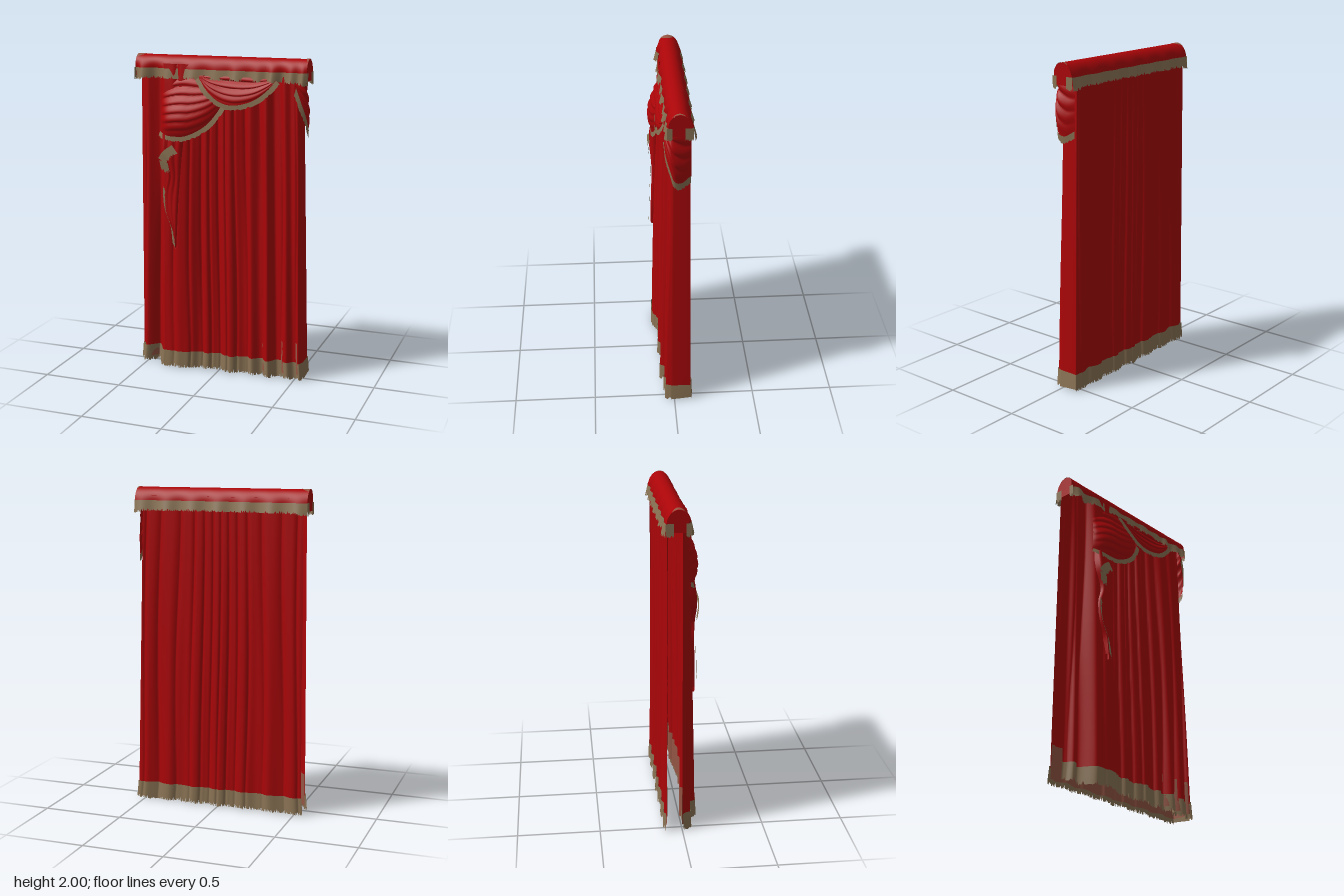
import * as THREE from 'three';

function material(name, color) {
  const m = new THREE.MeshStandardMaterial({ color, side: THREE.DoubleSide });
  m.name = name;
  return m;
}
const red = material('red velvet', 0xaa0508);
const tan = material('tan fringe', 0x8a7354);
const russet = material('russet lining', 0x955644);

const V = (x, y, z) => new THREE.Vector3(x, y, z);
const lerp = THREE.MathUtils.lerp;
const hash = (i) => { const s = Math.sin(i * 127.1 + 3.7) * 43758.5453; return s - Math.floor(s); };
const curve = (pts) => new THREE.CatmullRomCurve3(pts.map((p) => V(...p)));

// Smooth lookup through [x, value] pairs
function profile(table, x) {
  if (x <= table[0][0]) return table[0][1];
  for (let i = 1; i < table.length; i++) {
    const [x0, a] = table[i - 1], [x1, b] = table[i];
    if (x <= x1) return lerp(a, b, THREE.MathUtils.smoothstep(x, x0, x1));
  }
  return table[table.length - 1][1];
}

// Grid of points fn(u, v, column, row)
function sheet(name, nu, nv, fn, mat) {
  const pos = [], idx = [];
  for (let j = 0; j <= nv; j++) {
    for (let i = 0; i <= nu; i++) {
      const p = fn(i / nu, j / nv, i, j);
      pos.push(p.x, p.y, p.z);
      if (i < nu && j < nv) {
        const a = j * (nu + 1) + i, b = a + nu + 1;
        idx.push(a, b, a + 1, a + 1, b, b + 1);
      }
    }
  }
  const g = new THREE.BufferGeometry();
  g.setAttribute('position', new THREE.Float32BufferAttribute(pos, 3));
  g.setIndex(idx);
  g.computeVertexNormals();
  const m = new THREE.Mesh(g, mat);
  m.name = name;
  return m;
}

// Band hanging from edge(u) along drop(u), with a ragged lower edge
function fringe(name, n, edge, drop, ragged = 0.3, mat = tan) {
  const rows = [0, 0.65, 1];
  return sheet(name, n, 2, (u, v, i, j) => {
    const k = j === 2 ? 1 - ragged * hash(i) * (i % 2 ? 1 : 0.2) : rows[j];
    return edge(u).clone().addScaledVector(drop(u), k);
  }, mat);
}

// Front folds of the hem and of the valance
const hemFront = [[-0.55, 0.0], [-0.51, 0.055], [-0.43, 0.01], [-0.36, 0.1], [-0.28, 0.108], [-0.2, 0.095],
  [-0.13, 0.055], [-0.08, 0.07], [-0.01, 0.045], [0.08, 0.08], [0.17, 0.04], [0.22, 0.065], [0.27, 0.035],
  [0.33, 0.08], [0.38, 0.02], [0.45, 0.06], [0.49, 0.03], [0.53, 0.055], [0.55, 0.01]];
const valanceFront = [[-0.56, 0.01], [-0.51, 0.06], [-0.43, 0.012], [-0.34, 0.055], [-0.26, 0.04], [-0.18, 0.06],
  [-0.1, 0.035], [-0.03, 0.05], [0.05, 0.04], [0.1, 0.058], [0.18, 0.035], [0.24, 0.05], [0.29, 0.035],
  [0.33, 0.06], [0.39, 0.015], [0.45, 0.055], [0.49, 0.035], [0.52, 0.055], [0.55, 0.03]];
const backWave = (x) => Math.cos((x * Math.PI * 2) / 0.167);

// Closed pleated outline of the curtain at height y
const TOP = 1.95;
function drape(u, y, grow = 0) {
  const t = 1 - y / TOP;
  const front = u < 0.5;
  const s = front ? u * 2 : 2 - u * 2;
  const x = lerp(lerp(-0.53, -0.545, t), lerp(0.495, 0.548, t), s) + (s - 0.5) * 2 * grow;
  const px = (s - 0.5) * 1.1;
  const pleat = Math.abs(Math.sin(px * 40 + 1.9 * Math.sin(px * 9) + 0.35 * Math.sin(t * 5 + px * 6)));
  const groove = 0.018 * Math.pow(1 - pleat, 2) * Math.sin(Math.PI * Math.min(1, 0.25 + 0.5 * t));
  const z = front
    ? profile(hemFront, px) * (0.45 + 0.55 * Math.pow(t, 0.7)) - groove + grow
    : -0.089 - 0.01 * t * (1 + backWave(px)) + groove * 0.7 - grow;
  return V(x, y, z);
}

// Cloth gathered between a top line and a hanging bottom curve; lean moves the fullness sideways
function swag(name, top, bottom, bulge, axis, folds, lean = 1, slant = 1.2) {
  const T = curve(top), B = curve(bottom);
  return sheet(name, 48, 48, (u, v) => {
    const p = T.getPoint(u).lerp(B.getPoint(u), v);
    const mid = Math.sin(Math.PI * Math.pow(u, lean));
    const ridge = Math.abs(Math.sin(Math.PI * folds * v + slant * Math.sin(u * 4)));
    const full = bulge * Math.sin(Math.PI * Math.pow(v, 1.4));
    p.addScaledVector(axis, (full + 0.018 * (ridge - 0.7) * Math.sin(Math.PI * Math.sqrt(v))) * (0.2 + 0.8 * mid));
    p.y -= 0.012 * ridge * mid * Math.sin(Math.PI * v);
    return p;
  }, red);
}

// Trim running below a curve that travels towards +x
function trim(name, pts, width, n = 50) {
  const C = curve(pts);
  return fringe(name, n, (u) => C.getPoint(u).add(V(0, 0.003, 0.008)), (u) => {
    const t = C.getTangent(u);
    return V(t.y, -t.x, 0).normalize().multiplyScalar(width);
  });
}

export function createModel() {
  const model = new THREE.Group();
  model.name = 'curtain';

  // Hanging drape, its hem and the lining inside the hem
  model.add(sheet('drape', 481, 16, (u, v) => drape(u, lerp(TOP, 0.1, v)), red));
  const flare = (u) => {
    const side = u < 0.5 ? u * 4 - 1 : 3 - u * 4;
    return V(0.009 * side, -0.112, u < 0.5 ? 0.003 : -0.005);
  };
  model.add(fringe('hemFringe', 481, (u) => drape(u, 0.112, 0.004), flare, 0.26));
  model.add(sheet('hemLining', 481, 2, (u, v) => drape(u, lerp(0.24, 0.035, v), -0.003), russet));

  // Rounded valance with a flaring fringe
  const half = Math.PI / 2;
  const wave = (x, s) => (s > 0 ? profile(valanceFront, x) - 0.046 : -0.01 * (1 + backWave(x)));
  const valance = (x, s) => {
    const a = s * half, k = Math.pow(Math.abs(s), 3);
    return V(x, 1.918 + 0.082 * Math.cos(a), -0.025 + 0.068 * Math.sin(a) + 0.5 * wave(x, s) * k);
  };
  const X0 = -0.558, X1 = 0.545;
  const along = (u) => lerp(X0, X1, u);
  model.add(sheet('valance', 140, 24, (u, v) => valance(along(u), v * 2 - 1), red));
  for (const side of [-1, 1]) {
    model.add(fringe(side > 0 ? 'valanceFrontFringe' : 'valanceBackFringe', 180,
      (u) => valance(along(u), side).add(V(0, 0.003, side * 0.001)),
      (u) => V(0, -0.064 - 0.018 * Math.pow(Math.abs(2 * u - 1), 10), side * 0.009 + 0.5 * wave(along(u), side))));
  }

  // Closed ends of the valance with short pieces of fringe and a worn top edge
  for (const [x, label, worn] of [[X0, 'right', 0.055], [X1, 'left', 0.018]]) {
    const dir = Math.sign(x);
    model.add(sheet(label + 'ValanceEnd', 16, 1, (u, v) => {
      const p = valance(x, u * 2 - 1);
      return v ? p : V(x, 1.87, p.z);
    }, red));
    for (const [z0, z1] of [[0.045, 0.015], [-0.055, -0.1]]) {
      model.add(fringe(label + 'EndFringe', 10, (u) => V(x + dir * 0.002, 1.922, lerp(z0, z1, u)),
        () => V(0, -0.078, 0)));
    }
    model.add(sheet(label + 'WornEdge', 10, 2, (u, v) =>
      valance(x - dir * worn * v * Math.sin(Math.PI * u), lerp(-0.4, 0.45, u)).add(V(0, 0.002, 0)), russet));
  }

  // Two front swags
  const low = [[-0.385, 1.53, 0.055], [-0.34, 1.513, 0.085], [-0.27, 1.507, 0.092], [-0.2, 1.515, 0.09],
    [-0.08, 1.58, 0.078], [-0.01, 1.66, 0.062], [0.03, 1.73, 0.045]];
  const high = [[-0.13, 1.87, 0.05], [-0.06, 1.785, 0.074], [0.02, 1.73, 0.08], [0.1, 1.715, 0.082],
    [0.22, 1.745, 0.072], [0.31, 1.81, 0.058], [0.36, 1.87, 0.045]];
  const out = V(0, 0, 1);
  model.add(swag('lowerSwag', [[-0.37, 1.885, 0.025], [-0.18, 1.885, 0.045], [0.0, 1.885, 0.04]], low, 0.044, out, 7, 0.6, 2.4));
  model.add(trim('lowerSwagTrim', low, 0.032));
  model.add(swag('upperSwag', [[-0.12, 1.885, 0.045], [0.12, 1.885, 0.045], [0.35, 1.885, 0.04]], high, 0.014, out, 4));
  model.add(trim('upperSwagTrim', high, 0.032));

  // Swag wrapped around the left end
  const sideEdge = [[0.485, 1.83, 0.06], [0.515, 1.74, 0.05], [0.54, 1.65, 0.025], [0.548, 1.585, 0], [0.54, 1.572, -0.035], [0.515, 1.605, -0.092]];
  model.add(swag('sideSwag', [[0.46, 1.885, 0.045], [0.525, 1.885, 0.02], [0.51, 1.885, -0.09]], sideEdge, 0.014, V(1, 0, 0), 4));
  const sideCurve = curve(sideEdge);
  model.add(fringe('sideSwagTrim', 30, (u) => sideCurve.getPoint(u).add(V(0.003, 0.005, 0.002)),
    (u) => V(0.002 - 0.016 * (1 - u), -0.046, 0)));

  // Cascading tail below the lower swag, its sides folded back onto the drape
  const L = curve([[-0.37, 1.52, 0.085], [-0.365, 1.4, 0.104], [-0.33, 1.27, 0.093], [-0.352, 1.17, 0.087],
    [-0.34, 1.05, 0.093], [-0.3, 0.95, 0.1], [-0.285, 0.84, 0.104]]);
  const R = curve([[-0.22, 1.52, 0.08], [-0.24, 1.3, 0.078], [-0.255, 1.1, 0.088], [-0.265, 0.95, 0.098], [-0.275, 0.8, 0.102]]);
  model.add(sheet('tail', 20, 40, (u, v) => {
    const p = L.getPoint(v).lerp(R.getPoint(v), u);
    p.z += 0.009 * Math.abs(Math.sin(u * Math.PI * 3 + v)) * (1 - v);
    p.z -= 0.04 * Math.pow(Math.abs(2 * u - 1), 14);
    return p;
  }, red));
  model.add(trim('tailUpperTrim', [[-0.378, 1.37, 0.106], [-0.345, 1.415, 0.109], [-0.29, 1.455, 0.099]], 0.065, 16));
  model.add(fringe('tailMiddleTrim', 12, (u) => V(lerp(-0.372, -0.315, u), lerp(1.36, 1.345, u), 0.114),
    () => V(0.012, -0.07, -0.008), 0.5));
  model.add(fringe('tailLowerTrim', 40, (u) => L.getPoint(0.46 + 0.54 * u).add(V(-0.003, 0, 0.011)),
    (u) => V(lerp(0.014, 0.022, u), -0.045, 0.002), 0.6));

  return model;
}
